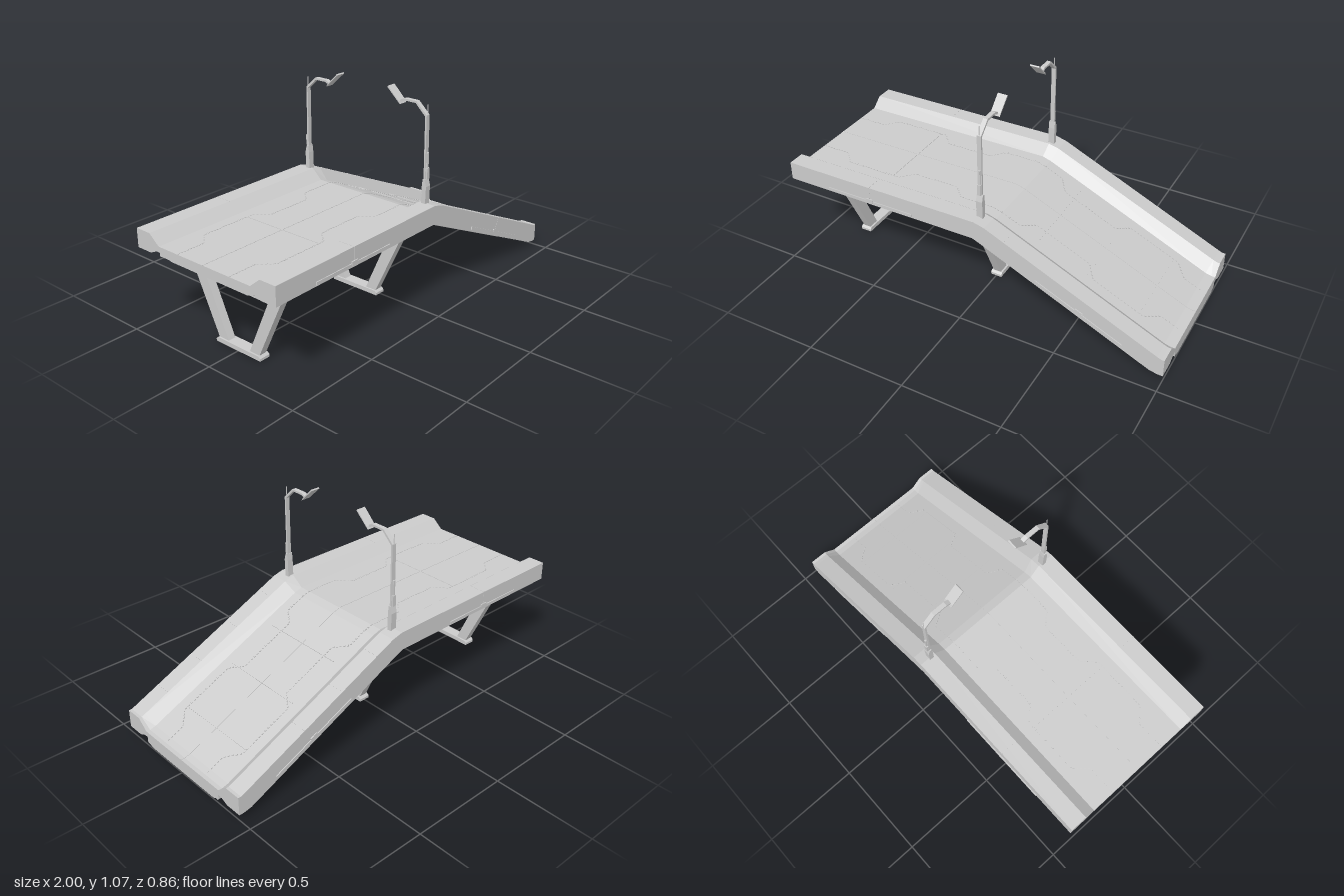
import * as THREE from 'three';
import { mergeGeometries } from 'three/addons/utils/BufferGeometryUtils.js';

const material = new THREE.MeshStandardMaterial({ color: 0xcccccc, flatShading: true });

// Parapet-top line of the ramp: [x, y, mitre shift per unit of depth]
const LINE = [[-1, 0.535, 0], [0.045, 0.535, 0.1], [0.1, 0.521, 0.33], [0.965, 0.128, 0.33], [0.985, 0.12, 0.1], [1, 0.12, 0]];

// Sweep a counter-clockwise (z, depth) loop along x through stations
function sweep(loop, stations) {
  const pos = [];
  const n = loop.length;
  const pt = (s, p) => [s[0] + p[1] * s[2], s[1] + p[1], p[0]];
  for (let i = 0; i < stations.length - 1; i++) {
    for (let j = 0; j < n; j++) {
      const k = (j + 1) % n;
      const a = pt(stations[i], loop[j]), b = pt(stations[i + 1], loop[j]);
      const c = pt(stations[i + 1], loop[k]), d = pt(stations[i], loop[k]);
      pos.push(...a, ...b, ...d, ...b, ...c, ...d);
    }
  }
  const flat = loop.map((p) => new THREE.Vector2(p[0], p[1]));
  const last = stations[stations.length - 1];
  for (const [a, b, c] of THREE.ShapeUtils.triangulateShape(flat, [])) {
    pos.push(...pt(stations[0], loop[a]), ...pt(stations[0], loop[b]), ...pt(stations[0], loop[c]));
    pos.push(...pt(last, loop[a]), ...pt(last, loop[c]), ...pt(last, loop[b]));
  }
  const geometry = new THREE.BufferGeometry();
  geometry.setAttribute('position', new THREE.Float32BufferAttribute(pos, 3));
  geometry.computeVertexNormals();
  return geometry;
}

const mirrored = (loop) => loop.map(([z, h]) => [-z, h]).reverse();
const symmetric = (half) => [...half, ...mirrored(half)];
const rect = (z0, z1, h0, h1) => [[z0, h0], [z1, h0], [z1, h1], [z0, h1]];
const bar = (loop, x, half) => sweep(loop, [[x - half, 0, 0], [x + half, 0, 0]]);

// Box lying on the ramp at x, at depth h below the parapet top
function onRamp(x, h, z, lx, ly, lz, turn = 0) {
  let i = 0;
  while (i < LINE.length - 2 && x > LINE[i + 1][0]) i++;
  const [a, b] = [LINE[i], LINE[i + 1]];
  const angle = Math.atan2(b[1] - a[1], b[0] - a[0]);
  const y = a[1] + (x - a[0]) * Math.tan(angle);
  const g = new THREE.BoxGeometry(lx, ly, lz);
  g.rotateY(turn);
  g.translate(0, h, 0);
  g.rotateZ(angle);
  g.translate(x, y, z);
  return g;
}

export function createModel() {
  const model = new THREE.Group();
  const add = (name, geometry, parent = model) => {
    const mesh = new THREE.Mesh(geometry, material);
    mesh.name = name;
    parent.add(mesh);
    return mesh;
  };

  // Roadway with sloped kerbs and parapets
  add('deck', sweep(symmetric([
    [0.3, -0.075], [0.34, -0.093], [0.427, -0.093], [0.427, 0], [0.34, 0], [0.283, -0.047],
  ]), LINE));

  // Rounded underside and the rails along its edges
  const under = [[-0.975, 0.535, 0], ...LINE.slice(1)];
  add('underside', sweep(symmetric([
    [0.235, -0.115], [0.25, -0.111], [0.259, -0.1], [0.259, -0.085], [0.252, -0.07],
  ]), under));
  const rail = [[0.255, -0.106], [0.272, -0.106], [0.278, -0.1], [0.278, -0.07], [0.255, -0.07]];
  add('leftUnderRail', sweep(rail, under));
  add('rightUnderRail', sweep(mirrored(rail), under));

  // Trim strips on the outer sides, each with a raised centre
  const trim = [];
  for (const side of [1, -1]) {
    for (const [x, length] of [[-0.53, 0.48], [0.61, 0.48]]) {
      trim.push(onRamp(x, -0.08, side * 0.427, length, 0.016, 0.008));
      trim.push(onRamp(x, -0.074, side * 0.427, 0.04, 0.022, 0.01));
      trim.push(onRamp(x, -0.033, side * 0.4265, 0.003, 0.064, 0.003));
    }
  }
  add('sideTrim', mergeGeometries(trim));

  // Panel seams across and along the road and on the parapets
  const seams = [];
  for (const x of [-0.53, 0.3, 0.55, 0.82]) seams.push(onRamp(x, -0.0465, 0, 0.004, 0.003, 0.45));
  for (const x of [-0.53, 0.2, 0.41, 0.63, 0.83]) {
    for (const side of [1, -1]) seams.push(onRamp(x, 0, side * 0.384, 0.003, 0.002, 0.085));
  }
  add('panelSeams', mergeGeometries(seams));
  add('centreSeam', sweep(rect(-0.002, 0.002, -0.05, -0.0455), LINE));

  // Rows of studs that jog in and out along both lanes
  const jogs = [[-1, 0.16], [-0.85, 0.16], [-0.79, 0.225], [-0.5, 0.225], [-0.44, 0.16], [-0.2, 0.16], [-0.14, 0.225],
    [0.2, 0.225], [0.25, 0.155], [0.53, 0.155], [0.58, 0.225], [0.84, 0.225], [0.9, 0.155], [0.99, 0.155]];
  const studs = [];
  for (let i = 0; i < jogs.length - 1; i++) {
    const [[x0, z0], [x1, z1]] = [jogs[i], jogs[i + 1]];
    const run = Math.hypot(x1 - x0, z1 - z0);
    const count = Math.round(run / 0.017);
    const turn = -Math.atan2(z1 - z0, x1 - x0);
    for (let k = 0; k < count; k++) {
      const t = (k + 0.5) / count;
      for (const side of [1, -1]) {
        studs.push(onRamp(x0 + (x1 - x0) * t, -0.0465, side * (z0 + (z1 - z0) * t), 0.009, 0.004, 0.006, side * turn));
      }
    }
  }
  add('laneStuds', mergeGeometries(studs));

  // V-shaped supports
  const leg = [[0.065, 0.015], [0.125, 0.015], [0.32, 0.43], [0.25, 0.43]];
  for (const x of [-0.8, 0]) {
    const support = new THREE.Group();
    support.name = x < 0 ? 'endSupport' : 'middleSupport';
    add('foot', bar(symmetric([[0.14, 0], [0.14, 0.012], [0.13, 0.022]]), x, 0.029), support);
    for (const side of [1, -1]) {
      const flip = side > 0 ? (l) => l : mirrored;
      add('leg', bar(flip(leg), x, 0.02), support);
      add('bracket', bar(flip(rect(0.245, 0.315, 0.402, 0.418)), x - 0.06, 0.06), support);
      add('bracketPad', bar(flip(rect(0.235, 0.325, 0.416, 0.445)), x - 0.07, 0.095), support);
    }
    model.add(support);
  }

  // Street lamps facing each other across the road
  const pole = [[0.361, 0.53], [0.37, 0.53], [0.37, 0.962], [0.31, 1.018], [0.24, 1.018], [0.215, 1.006], [0.222, 0.998],
    [0.245, 1.008], [0.306, 1.008], [0.361, 0.955]].reverse();
  // The pole outline runs counter-clockwise once its order is settled by area
  const ccw = (loop) => (THREE.ShapeUtils.area(loop.map(([x, y]) => ({ x, y }))) > 0 ? loop : [...loop].reverse());
  const parts = [
    ['pole', pole, 0.011],
    ['base', [[0.354, 0.53], [0.377, 0.53], [0.38, 0.62], [0.371, 0.655], [0.36, 0.655], [0.356, 0.62]], 0.016],
    ['controlBox', rect(0.366, 0.38, 0.655, 0.71), 0.009],
    ['conduit', rect(0.369, 0.377, 0.7, 0.785), 0.005],
    ['antenna', rect(0.366, 0.369, 0.95, 1.01), 0.0015],
    ['lampHead', [[0.226, 0.99], [0.219, 1.003], [0.156, 1.065], [0.151, 1.06]], 0.024],
  ];
  for (const side of [1, -1]) {
    const lamp = new THREE.Group();
    lamp.name = side > 0 ? 'leftLamp' : 'rightLamp';
    for (const [name, loop, half] of parts) {
      const outline = ccw(loop);
      add(name, bar(side > 0 ? outline : mirrored(outline), 0.05, half), lamp);
    }
    model.add(lamp);
  }
  return model;
}
